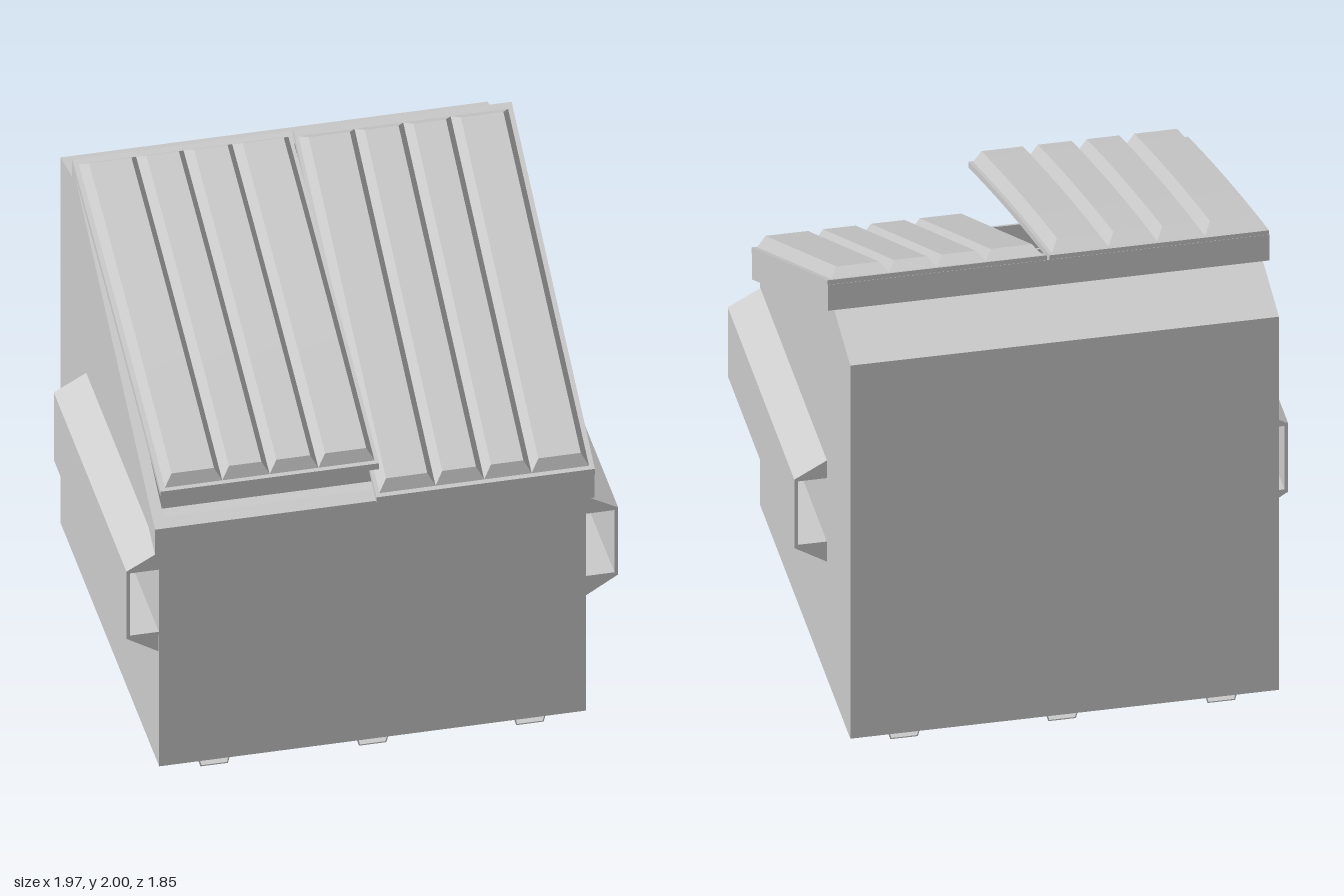
import * as THREE from 'three';
import { toCreasedNormals } from 'three/addons/utils/BufferGeometryUtils.js';

const material = new THREE.MeshStandardMaterial({ color: 0xcccccc });
const HALF = 0.855;   // half width of the container
const WALL = 0.02;
const SLOPE = 0.533;  // pitch of the loading opening

function addMesh(parent, name, geometry) {
  const mesh = new THREE.Mesh(geometry, material);
  mesh.name = name;
  parent.add(mesh);
  return mesh;
}

function polygon(points) {
  return new THREE.Shape(points.map(([x, y]) => new THREE.Vector2(x, y)));
}

// Extrudes an (x, y) outline from z0 to z1.
function extrudeZ(points, z0, z1) {
  const geometry = new THREE.ExtrudeGeometry(polygon(points), { depth: z1 - z0, bevelEnabled: false });
  return geometry.translate(0, 0, z0);
}

// Extrudes a (z, y) outline across x from x0 to x1.
function extrudeX(points, x0, x1) {
  const geometry = new THREE.ExtrudeGeometry(polygon(points), { depth: x1 - x0, bevelEnabled: false });
  return geometry.rotateY(-Math.PI / 2).translate(x1, 0, 0);
}

// Moves every vertex by a rule, then rebuilds the normals.
function deform(geometry, rule) {
  const position = geometry.attributes.position;
  const v = new THREE.Vector3();
  for (let i = 0; i < position.count; i++) {
    rule(v.fromBufferAttribute(position, i));
    position.setXYZ(i, v.x, v.y, v.z);
  }
  return toCreasedNormals(geometry, 0.3);
}

// Hollow container: two side plates and a folded front, floor, back and rear top.
function createBody() {
  const body = new THREE.Group();
  body.name = 'body';
  const side = [[0.79, 0.04], [0.79, 1.09], [-0.62, 1.84], [-0.925, 1.775], [-0.925, 0.04]];
  addMesh(body, 'leftWall', extrudeX(side, HALF - WALL, HALF));
  addMesh(body, 'rightWall', extrudeX(side, -HALF, -HALF + WALL));
  const sheet = [
    [0.79, 1.09], [0.79, 0.04], [-0.925, 0.04], [-0.925, 1.775], [-0.62, 1.84],
    [-0.62, 1.82], [-0.905, 1.757], [-0.905, 0.06], [0.77, 0.06], [0.77, 1.095],
  ];
  addMesh(body, 'wrapSheet', extrudeX(sheet, -HALF + WALL, HALF - WALL));
  return body;
}

// Sloping frame around the opening: a flat ring sheared along z.
function createRim() {
  const ring = polygon([[-0.88, -0.825], [0.88, -0.825], [0.88, 0.62], [-0.88, 0.62]]);
  const hole = polygon([[-0.835, -0.78], [-0.835, 0.58], [0.835, 0.58], [0.835, -0.78]]);
  ring.holes.push(hole);
  const geometry = new THREE.ExtrudeGeometry(ring, { depth: 0.12, bevelEnabled: false });
  geometry.rotateX(-Math.PI / 2);
  return deform(geometry, (v) => { v.y += 1.07 + (0.825 - v.z) * SLOPE; });
}

// Ribbed lid; height(z) gives the top of its flange, side is +1 or -1.
function createLid(name, side, front, height) {
  const lid = new THREE.Group();
  lid.name = name;
  const back = -0.615;
  const bend = (v) => { v.y += height(v.z); };

  const flange = new THREE.BoxGeometry(0.875, 0.028, front - back, 1, 1, 10);
  flange.translate(side * 0.4425, -0.014, (front + back) / 2);
  addMesh(lid, 'lidFlange', deform(flange, bend));

  const edges = [0.02, 0.245, 0.44, 0.63, 0.86];
  const z0 = -0.59;
  const z1 = front - 0.015;
  for (let i = 0; i < 4; i++) {
    const width = edges[i + 1] - edges[i];
    const centre = side * (edges[i] + edges[i + 1]) / 2;
    const rib = new THREE.BoxGeometry(width, 0.05, z1 - z0, 1, 1, 10);
    rib.translate(0, 0.025, (z0 + z1) / 2);
    addMesh(lid, 'lidRib', deform(rib, (v) => {
      if (v.y > 0.04) {
        // Draw the top in on all four sides
        const t = (v.z - z0) / (z1 - z0);
        v.x -= Math.sign(v.x) * 0.03;
        v.z = THREE.MathUtils.lerp(z0 + 0.05, z1 - 0.013, t);
      }
      v.x += centre;
      bend(v);
    }));
  }
  return lid;
}

// Open-ended sleeve on one side, with three gussets below.
function createForkPocket(name, side) {
  const pocket = new THREE.Group();
  pocket.name = name;
  const place = (points) => points.map(([x, y]) => [side * x, y]);
  const channel = [
    [0.85, 0.66], [0.985, 0.66], [0.985, 0.98], [0.85, 1.055],
    [0.85, 0.97], [0.97, 0.97], [0.97, 0.675], [0.85, 0.675],
  ];
  addMesh(pocket, 'pocketSleeve', extrudeZ(place(channel), -0.48, 0.785));
  const gusset = [[0.85, 0.577], [0.985, 0.66], [0.85, 0.66]];
  for (const z of [0.775, 0.155, -0.47]) {
    addMesh(pocket, 'pocketGusset', extrudeZ(place(gusset), z - 0.007, z + 0.007));
  }
  return pocket;
}

export function createModel() {
  const model = new THREE.Group();
  model.name = 'wasteContainer';
  model.add(createBody());
  addMesh(model, 'rim', createRim());

  // Closed lid lies on the rim; the other is propped open and bows slightly.
  model.add(createLid('closedLid', 1, 0.835, (z) => 1.213 + (0.835 - z) * 0.528));
  model.add(createLid('raisedLid', -1, 0.925, (z) => {
    const t = (0.925 - z) / 1.54;
    return 1.437 + t * 0.54 + 0.05 * t * (1 - t);
  }));

  model.add(createForkPocket('leftForkPocket', 1));
  model.add(createForkPocket('rightForkPocket', -1));

  // Hollow channel skids under the floor
  const skid = [
    [-0.065, 0.04], [-0.055, 0], [0.055, 0], [0.065, 0.04],
    [0.06, 0.04], [0.051, 0.005], [-0.051, 0.005], [-0.06, 0.04],
  ];
  for (const x of [-0.63, 0.005, 0.635]) {
    addMesh(model, 'skid', extrudeZ(skid, -0.9, 0.77)).position.x = x;
  }
  return model;
}
